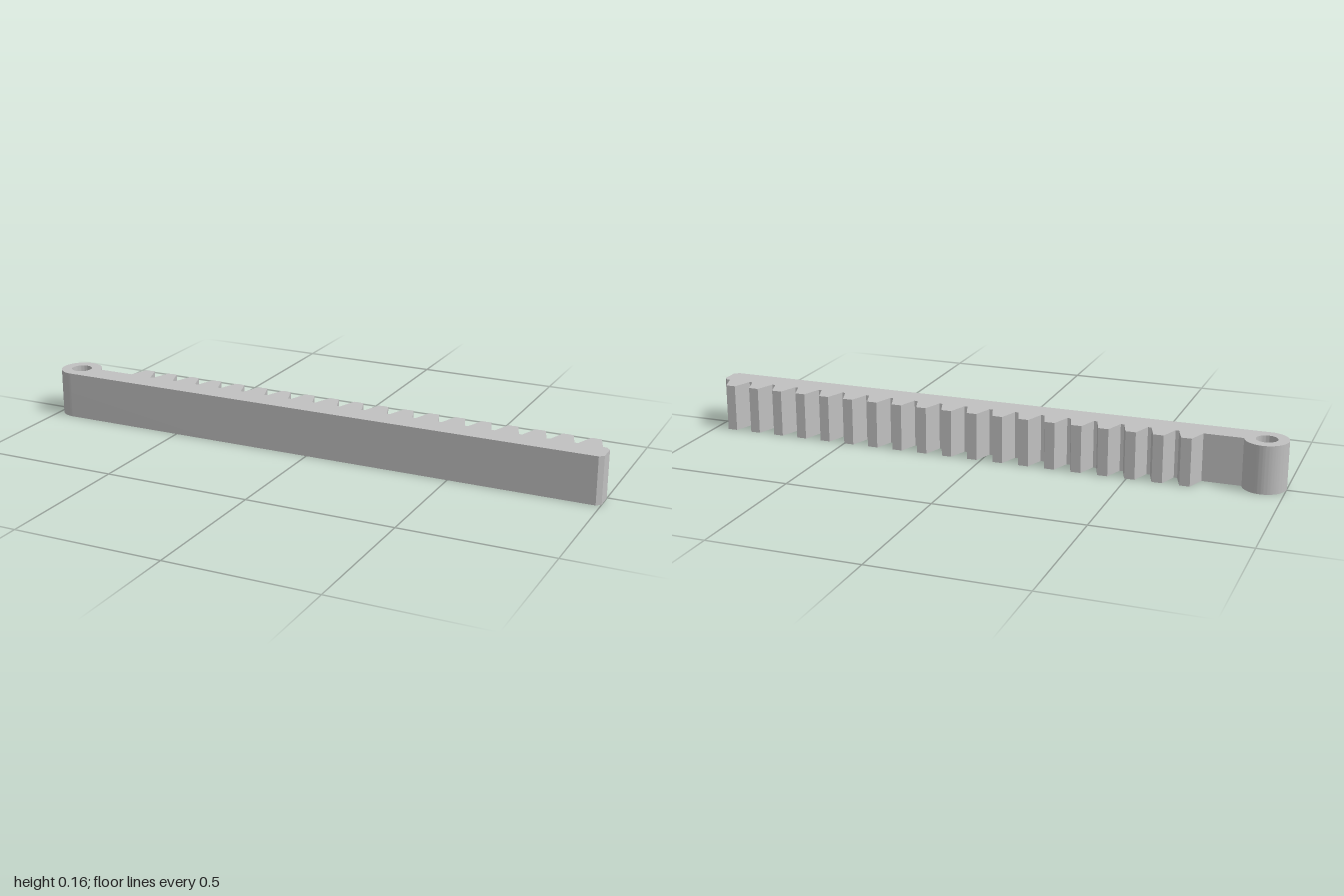
import * as THREE from 'three';
import { toCreasedNormals } from 'three/addons/utils/BufferGeometryUtils.js';

const HEIGHT = 0.16;
const FRONT = -0.076, ROOT = 0.011, TIP = 0.076; // outline depths, back is positive
const TEETH = 19, PITCH = 0.0903, FIRST = -0.691;
const BASE_HALF = 0.0395, TIP_HALF = 0.017;
const EYE = { x: -0.929, y: -0.005, outer: 0.071, hole: 0.035 };

export function createModel() {
  const group = new THREE.Group();
  group.name = 'gearRack';
  const steel = new THREE.MeshStandardMaterial({ color: 0xc0c0c0 });
  steel.name = 'plain grey';

  // Eye end: arc from the back of the bar round to its front face
  const outline = new THREE.Shape();
  const start = Math.asin((ROOT - EYE.y) / EYE.outer);
  outline.absarc(EYE.x, EYE.y, EYE.outer, start, Math.PI * 1.5, false);

  // Front face and chamfered free end
  outline.lineTo(0.985, FRONT);
  outline.lineTo(1, FRONT + 0.014);
  outline.lineTo(1, -0.005);
  outline.lineTo(0.986, ROOT);

  // Trapezoid teeth along the back, from the free end to the eye
  for (let i = TEETH - 1; i >= 0; i--) {
    const x = FIRST + i * PITCH;
    outline.lineTo(x + BASE_HALF, ROOT);
    outline.lineTo(x + TIP_HALF, TIP);
    outline.lineTo(x - TIP_HALF, TIP);
    outline.lineTo(x - BASE_HALF, ROOT);
  }
  outline.closePath();

  // Pivot hole
  const hole = new THREE.Path();
  hole.absarc(EYE.x, EYE.y, EYE.hole, 0, Math.PI * 2, true);
  outline.holes.push(hole);

  // Extrude upwards, smooth on the round eye and sharp elsewhere
  const solid = new THREE.ExtrudeGeometry(outline, { depth: HEIGHT, bevelEnabled: false, curveSegments: 40 });
  solid.rotateX(-Math.PI / 2);
  const rack = new THREE.Mesh(toCreasedNormals(solid, 0.4), steel);
  rack.name = 'toothedBar';
  group.add(rack);
  return group;
}
